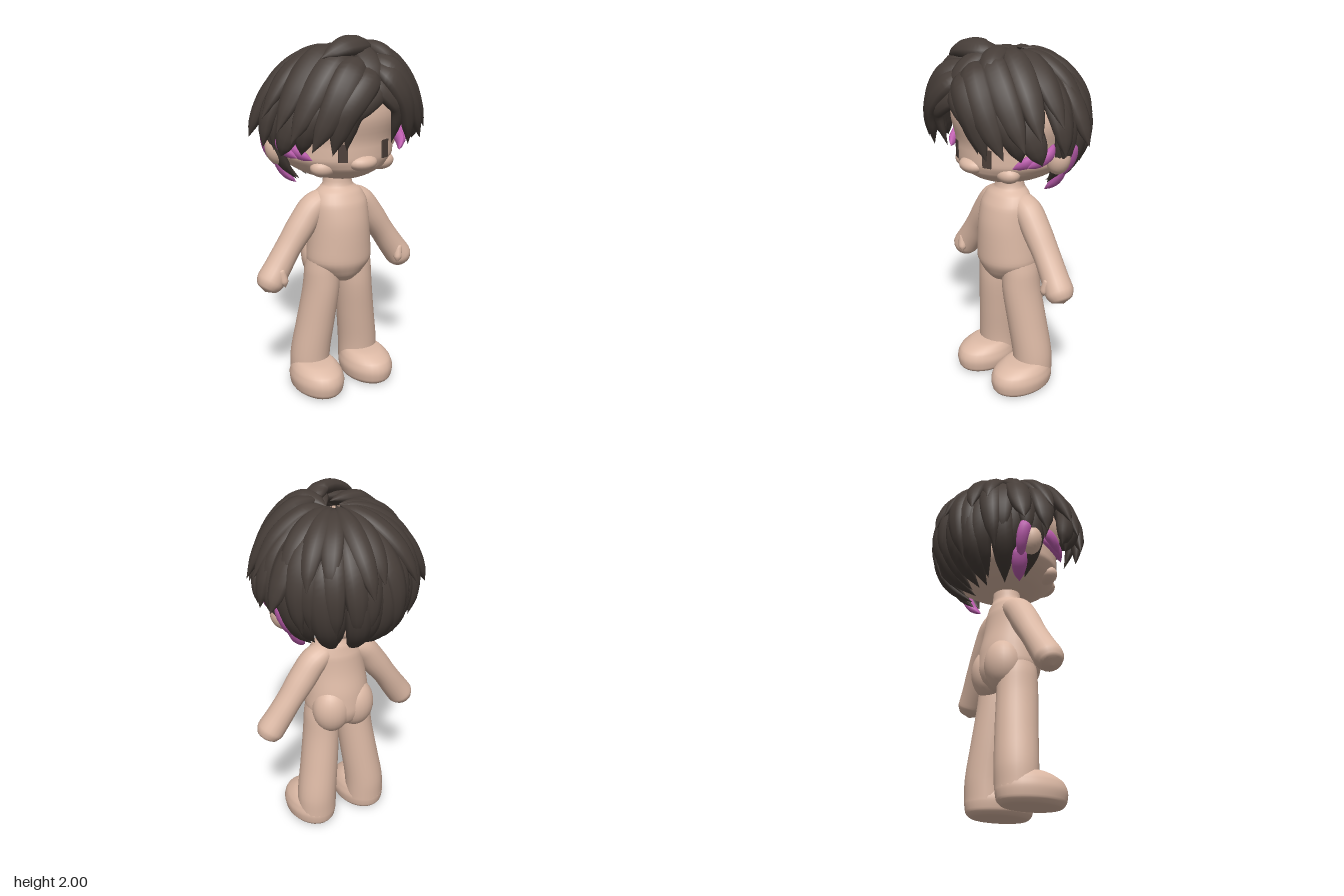
import * as THREE from 'three';

const V = (x, y, z) => new THREE.Vector3(x, y, z);
const UP = V(0, 1, 0);
const FRONT = V(0, 0, 1);

// Smooth skin over sections [x, y, z, halfWidth, halfDepth];
// outward(p) gives the depth direction, axis fixes the ring normal
function loft(sections, outward, axis, sides = 16, steps = 5) {
  const path = new THREE.CatmullRomCurve3(sections.map(s => V(s[0], s[1], s[2])));
  const size = new THREE.CatmullRomCurve3(sections.map(s => V(s[3], s[4], 0)));
  const n = (sections.length - 1) * steps;
  const pos = [], idx = [];
  for (let j = 0; j <= n; j++) {
    const p = path.getPoint(j / n), r = size.getPoint(j / n);
    const T = axis ? axis.clone() : path.getTangent(j / n);
    const B = T.clone().cross(outward(p)).normalize();
    const N = B.clone().cross(T).normalize();
    for (let i = 0; i < sides; i++) {
      const a = i / sides * Math.PI * 2;
      const q = p.clone()
        .addScaledVector(B, Math.cos(a) * Math.max(r.x, 0))
        .addScaledVector(N, Math.sin(a) * Math.max(r.y, 0));
      pos.push(q.x, q.y, q.z);
      if (j < n) {
        const k = j * sides + i, k2 = j * sides + (i + 1) % sides;
        idx.push(k, k + sides, k2, k2, k + sides, k2 + sides);
      }
    }
  }
  const g = new THREE.BufferGeometry();
  g.setAttribute('position', new THREE.Float32BufferAttribute(pos, 3));
  g.setIndex(idx);
  g.computeVertexNormals();
  return g;
}

export function createModel() {
  const mat = (name, color) => Object.assign(new THREE.MeshStandardMaterial({ color }), { name });
  const skin = mat('skin', 0xdcb9a5);
  const hair = mat('hair', 0x463d38);
  const pink = mat('pink hair', 0xc05fb2);
  const eyeMat = mat('eye', 0x4d403a);

  const model = new THREE.Group();
  const add = (name, geo, m, parent = model) => {
    const mesh = new THREE.Mesh(geo, m);
    mesh.name = name;
    parent.add(mesh);
    return mesh;
  };
  const ball = (name, p, r, parent) => {
    const b = add(name, new THREE.SphereGeometry(1, 24, 16), skin, parent);
    b.position.set(...p);
    b.scale.set(...r);
    return b;
  };
  const front = () => FRONT;

  // Torso and neck
  add('torso', loft([
    [0, 0.635, 0.03, 0, 0], [0, 0.65, 0.03, 0.06, 0.09], [0, 0.70, 0.025, 0.135, 0.145],
    [0, 0.78, 0.03, 0.19, 0.17], [0, 0.88, 0.035, 0.182, 0.165], [0, 1.0, 0.045, 0.17, 0.148],
    [0, 1.1, 0.04, 0.162, 0.13], [0, 1.16, 0.03, 0.135, 0.105], [0, 1.2, 0.02, 0.085, 0.08],
    [0, 1.32, 0.02, 0.07, 0.07],
  ], front, UP, 32), skin);

  // Head
  const head = new THREE.Group();
  head.name = 'head';
  model.add(head);
  add('skull', loft([
    [0, 1.245, 0.04, 0, 0], [0, 1.25, 0.04, 0.09, 0.11], [0, 1.275, 0.02, 0.19, 0.2],
    [0, 1.325, 0, 0.275, 0.285], [0, 1.38, 0, 0.315, 0.3], [0, 1.46, 0, 0.318, 0.3],
    [0, 1.6, -0.01, 0.35, 0.335], [0, 1.74, -0.01, 0.315, 0.31], [0, 1.84, 0, 0.22, 0.22],
    [0, 1.89, 0, 0.12, 0.12], [0, 1.905, 0, 0, 0],
  ], front, UP, 40), skin, head);
  ball('nose', [0, 1.36, 0.265], [0.085, 0.045, 0.068], head);

  for (const s of [1, -1]) {
    const side = s > 0 ? 'left' : 'right';
    const flip = list => list.map(q => [q[0] * s, ...q.slice(1)]);

    // Face details
    ball(side + 'Cheek', [s * 0.18, 1.335, 0.175], [0.075, 0.05, 0.06], head);
    ball(side + 'Ear', [s * 0.345, 1.415, -0.025], [0.065, 0.085, 0.06], head).rotation.z = -s * 0.35;
    const eye = add(side + 'Eye', new THREE.BoxGeometry(0.05, 0.095, 0.009), eyeMat, head);
    eye.position.set(s * 0.13 + 0.006, 1.421, 0.276);
    eye.rotation.y = s * 0.4;

    // Legs, feet and seat
    add(side + 'Leg', loft(flip([
      [0.165, 0.08, -0.02, 0.115, 0.11], [0.162, 0.2, -0.018, 0.115, 0.114],
      [0.135, 0.4, 0.0, 0.109, 0.115], [0.11, 0.6, 0.02, 0.102, 0.115],
      [0.104, 0.72, 0.025, 0.097, 0.112], [0.1, 0.83, 0.03, 0.075, 0.1], [0.1, 0.88, 0.03, 0, 0],
    ]), front, UP, 24), skin);
    add(side + 'Foot', loft(flip([
      [0.168, 0, 0.065, 0, 0], [0.168, 0.004, 0.065, 0.11, 0.16], [0.168, 0.03, 0.065, 0.137, 0.188],
      [0.168, 0.08, 0.065, 0.145, 0.195], [0.168, 0.13, 0.06, 0.133, 0.18],
      [0.166, 0.17, 0.035, 0.1, 0.125], [0.166, 0.185, 0.01, 0, 0],
    ]), front, UP, 28), skin);
    ball(side + 'Buttock', [s * 0.075, 0.775, -0.045], [0.112, 0.145, 0.103]);

    // Arms and thumbs
    add(side + 'Arm', loft(flip([
      [0.02, 1.11, 0.01, 0, 0], [0.09, 1.115, 0.01, 0.058, 0.07], [0.155, 1.075, 0.01, 0.076, 0.08],
      [0.225, 0.985, 0.01, 0.078, 0.08], [0.31, 0.87, 0.01, 0.07, 0.076],
      [0.375, 0.775, 0.015, 0.074, 0.076], [0.425, 0.705, 0.02, 0.077, 0.08],
      [0.45, 0.665, 0.02, 0.058, 0.06], [0.462, 0.645, 0.02, 0, 0],
    ]), front, null, 20), skin);
    add(side + 'Thumb', loft(flip([
      [0.39, 0.79, 0.065, 0, 0], [0.388, 0.765, 0.072, 0.024, 0.026],
      [0.378, 0.71, 0.085, 0.024, 0.024], [0.372, 0.675, 0.09, 0, 0],
    ]), front, null, 12), skin);
  }

  // Leaf-shaped lock of hair lying along a path
  const hairGroup = new THREE.Group();
  hairGroup.name = 'hair';
  model.add(hairGroup);
  const centre = V(0, 1.55, 0.01);
  const taper = [0, 0.68, 0.95, 1, 0.9, 0.62, 0];
  function lock(name, points, w, m = hair) {
    const c = new THREE.CatmullRomCurve3(points.map(p => V(...p)));
    const sections = taper.map((f, i) => {
      const p = c.getPoint(i / (taper.length - 1));
      return [p.x, p.y, p.z, w * f, w * f * 0.6];
    });
    add(name, loft(sections, p => p.clone().sub(centre).normalize(), null, 10, 4), m, hairGroup);
  }

  // Swept front and side locks, mirrored about the parting
  const swept = [
    [0.072, [0.04, 1.92, 0.02], [0.18, 1.9, 0.04], [0.34, 1.79, 0.05], [0.47, 1.6, 0.05]],
    [0.078, [0.02, 1.93, 0.1], [0.18, 1.91, 0.14], [0.34, 1.75, 0.17], [0.45, 1.55, 0.18]],
    [0.08, [0.01, 1.93, 0.18], [0.16, 1.88, 0.25], [0.3, 1.71, 0.27], [0.41, 1.5, 0.25]],
    [0.08, [0.01, 1.9, 0.26], [0.12, 1.84, 0.34], [0.23, 1.67, 0.36], [0.33, 1.46, 0.32]],
    [0.075, [0.0, 1.87, 0.29], [0.07, 1.8, 0.38], [0.18, 1.65, 0.39], [0.23, 1.44, 0.35]],
    [0.06, [-0.02, 1.84, 0.32], [0.02, 1.74, 0.385], [0.13, 1.65, 0.39], [0.135, 1.45, 0.33]],
    [0.07, [0.2, 1.76, 0.24], [0.33, 1.65, 0.21], [0.39, 1.52, 0.17], [0.41, 1.42, 0.14]],
    [0.07, [0.15, 1.8, 0.27], [0.27, 1.68, 0.29], [0.33, 1.55, 0.25], [0.33, 1.43, 0.21]],
    [0.07, [0.14, 1.87, 0.04], [0.33, 1.76, 0.03], [0.42, 1.6, 0.02], [0.45, 1.45, 0.02]],
    [0.07, [0.12, 1.88, -0.05], [0.3, 1.78, -0.09], [0.4, 1.62, -0.12], [0.46, 1.48, -0.13]],
  ];
  // Pink strands around the ears
  const strands = [
    [0.036, [0.33, 1.47, 0.04], [0.335, 1.45, 0.11], [0.315, 1.42, 0.17], [0.27, 1.39, 0.22]],
    [0.034, [0.34, 1.5, 0.0], [0.38, 1.47, 0.06], [0.365, 1.43, 0.12], [0.33, 1.4, 0.17]],
    [0.036, [0.35, 1.55, -0.01], [0.39, 1.48, -0.08], [0.36, 1.38, -0.09], [0.31, 1.3, -0.07]],
    [0.044, [0.33, 1.4, -0.08], [0.315, 1.34, -0.075], [0.28, 1.27, -0.06], [0.23, 1.22, -0.03]],
  ];
  for (const s of [1, -1]) {
    const shift = p => [p[0] * s + (p[0] < 0.1 ? 0.02 : 0), p[1] + s * 0.006, p[2]];
    swept.forEach(([w, ...pts]) => lock('sweptLock', pts.map(shift), w));
    strands.forEach(([w, ...pts]) => lock('pinkStrand', pts.map(p => [p[0] * s, p[1], p[2]]), w, pink));
  }

  // Locks closing the parting and raised tufts beside it
  lock('partingLock', [[0.03, 1.91, 0.08], [0.02, 1.92, 0.22], [0.01, 1.82, 0.35], [0.01, 1.67, 0.37]], 0.07);
  lock('topTuft', [[0.07, 1.93, 0.1], [0.02, 1.955, 0.2], [-0.1, 1.95, 0.24], [-0.23, 1.9, 0.24]], 0.07);
  lock('topTuft', [[0.05, 1.92, 0.04], [0.1, 1.94, 0.17], [0.15, 1.9, 0.26], [0.2, 1.8, 0.32]], 0.065);

  // Layers fanning from the crown:
  // [count, azimuth span, polar start, polar end, scale, tip lift, half width]
  const rad = Math.PI / 180;
  const layers = [
    [13, 84, 30, 157, 0.96, 0.04, 0.074],
    [13, 94, 14, 122, 0.99, 0.09, 0.066],
    [10, 92, 5, 84, 1.03, 0.1, 0.062],
  ];
  layers.forEach(([count, span, p0, p1, scale, lift, w], layer) => {
    for (let i = 0; i < count; i++) {
      const u = i / (count - 1) * 2 - 1;
      const jitter = Math.sin(i * 2.7 + layer * 1.9);
      const end = p1 - 13 * u * u + 5 * jitter;
      const pts = [0, 0.25, 0.5, 0.75, 1].map(t => {
        const az = (180 + u * span + jitter * 6 * t) * rad;
        const po = (p0 + (end - p0) * t) * rad;
        const r = scale + lift * t * t + 0.02 * jitter;
        // Upper hair slopes to the crown, lower hair hangs straighter
        const out = Math.pow(Math.sin(po), Math.cos(po) > 0 ? 1.1 : 0.75) * r;
        return [Math.sin(az) * out * 0.385 + 0.03 * (1 - t),
          1.56 + Math.cos(po) * 0.365 * Math.min(r, 1.05), Math.cos(az) * out * 0.375];
      });
      lock('backLock', pts, w);
    }
  });
  return model;
}
